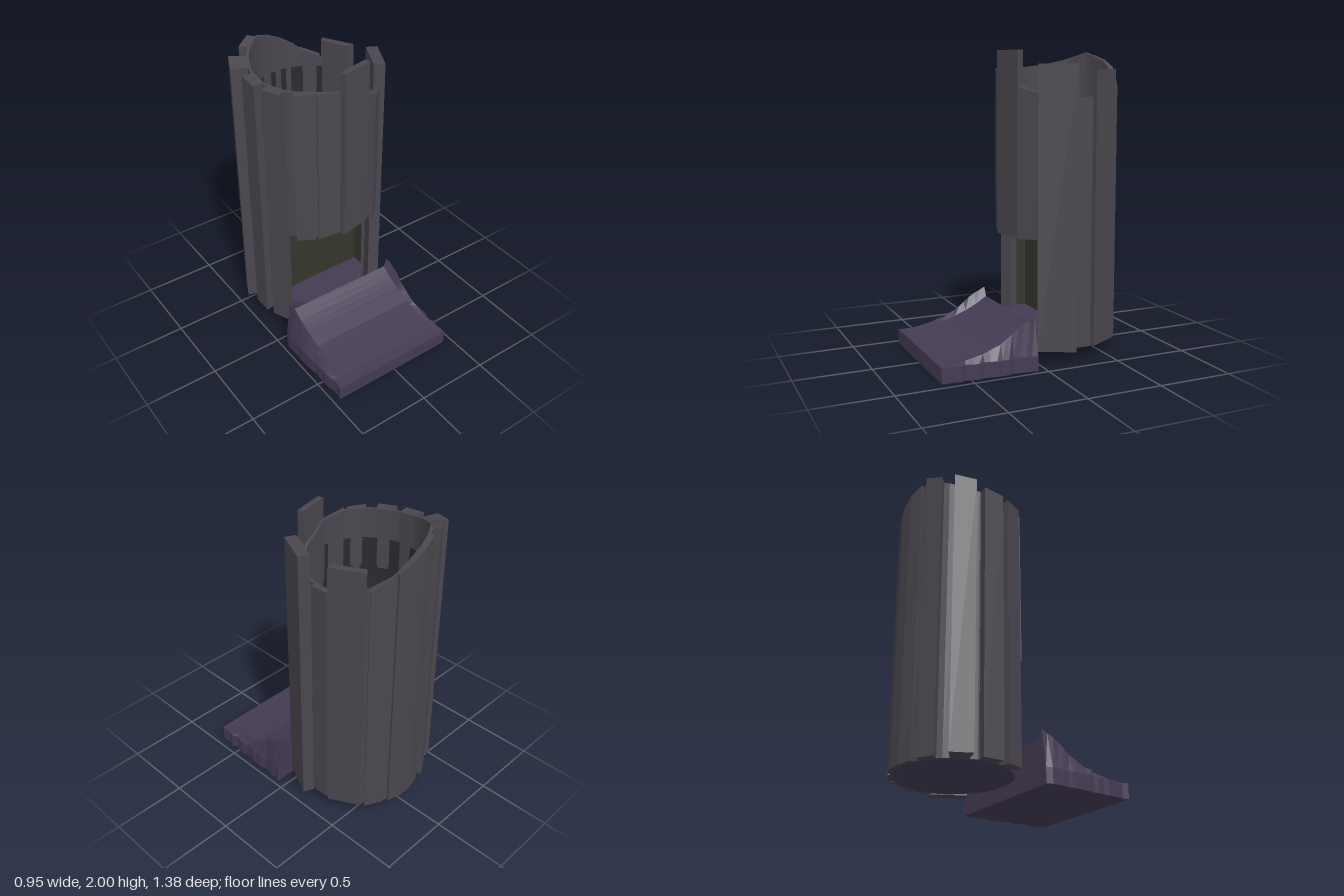
import * as THREE from 'three';

const CZ = -0.295; // trunk axis
const INNER = 0.365, BASE = 0.09, DOOR_TOP = 0.81, FLOOR = 0.21;
const RIM = [1.70, 1.71, 1.77, 1.86, 1.89, 1.89, 1.90, 1.94, 2.0, 1.93, 1.80, 1.72]; // every 30 degrees

const mat = (color) => new THREE.MeshStandardMaterial({ color });
const bark = mat(0x4a464e), dusk = mat(0x443b54), moss = mat(0x34362d), dark = mat(0x29282b);
dark.side = THREE.DoubleSide;

// Trunk height at a point around the axis
function rimHeight(x, z) {
  const t = ((Math.atan2(z - CZ, x) / (Math.PI / 6)) + 12) % 12;
  const i = Math.floor(t);
  return THREE.MathUtils.lerp(RIM[i % 12], RIM[(i + 1) % 12], t - i);
}

// Upright slab between two outer corners, reaching inwards to the hollow
function stave([x0, z0, x1, z1], bottom, top) {
  const geo = new THREE.BoxGeometry(1, 1, 1);
  const p = geo.attributes.position;
  for (let i = 0; i < p.count; i++) {
    let [x, z] = p.getX(i) > 0 ? [x0, z0] : [x1, z1];
    const h = top ?? rimHeight(x, z);
    if (p.getZ(i) < 0) {
      const k = INNER / Math.hypot(x, z - CZ);
      x *= k;
      z = CZ + (z - CZ) * k;
    }
    p.setXYZ(i, x, p.getY(i) > 0 ? h : bottom, z);
  }
  geo.computeVertexNormals();
  return geo;
}

function curve(points, z) {
  for (let i = 1; i < points.length; i++) {
    const [a, ha] = points[i - 1], [b, hb] = points[i];
    if (z <= b) return THREE.MathUtils.lerp(ha, hb, (z - a) / (b - a));
  }
  return points[points.length - 1][1];
}

// Curved step with ragged raised cheeks, lofted from front-facing sections
function rampGeometry() {
  let seed = 7;
  const rnd = () => ((seed = (seed * 16807) % 2147483647) / 2147483647) - 0.5;
  const mid = [[0.06, 0.285], [0.13, 0.24], [0.2, 0.205], [0.34, 0.15], [0.5, 0.12], [0.62, 0.102], [0.69, 0.1]];
  const cheek = [[0.06, 0.345], [0.13, 0.305], [0.16, 0.295], [0.22, 0.245], [0.3, 0.19], [0.4, 0.15], [0.5, 0.125], [0.62, 0.103], [0.69, 0.1]];
  const rows = 16, sections = [];
  for (let i = 0; i <= rows; i++) {
    const z = 0.06 + 0.63 * i / rows;
    const h = curve(mid, z), hc = Math.max(h, curve(cheek, z));
    const lo = 0.465 - 0.02 * i / rows + 0.02 * rnd(), ro = 0.46 - 0.02 * i / rows + 0.02 * rnd();
    const lc = 0.425 + 0.02 * rnd(), rc = 0.42 + 0.02 * rnd();
    sections.push([[-lo, 0], [-lo, 0.1], [-lc, hc], [-0.385, h], [0.39, h], [rc, hc], [ro, 0.1], [ro, 0]]
      .map(([x, y]) => new THREE.Vector3(x, y, z)));
  }
  const n = 8, idx = [];
  for (let i = 0; i < rows; i++) for (let j = 0; j < n; j++) {
    const k = (j + 1) % n, a = i * n + j, b = i * n + k, c = b + n, d = a + n;
    idx.push(a, d, c, a, c, b);
  }
  // end caps
  const ends = [[sections[0], 0, false], [sections[rows], rows * n, true]];
  for (const [s, off, front] of ends) {
    // triangulate, then turn each triangle to face outwards
    for (const [a, b, c] of THREE.ShapeUtils.triangulateShape(s.map((v) => new THREE.Vector2(v.x, v.y)), [])) {
      const area = (s[b].x - s[a].x) * (s[c].y - s[a].y) - (s[b].y - s[a].y) * (s[c].x - s[a].x);
      if ((area > 0) === front) idx.push(off + a, off + b, off + c);
      else idx.push(off + a, off + c, off + b);
    }
  }
  const geo = new THREE.BufferGeometry().setFromPoints(sections.flat());
  geo.setIndex(idx);
  const flat = geo.toNonIndexed();
  flat.computeVertexNormals();
  return flat;
}

export function createModel() {
  const model = new THREE.Group();
  const add = (parent, name, geo, material, x = 0, y = 0, z = 0) => {
    const mesh = new THREE.Mesh(geo, material);
    mesh.name = name;
    mesh.position.set(x, y, z);
    parent.add(mesh);
    return mesh;
  };
  const group = (name) => {
    const g = new THREE.Group();
    g.name = name;
    model.add(g);
    return g;
  };

  // Thin trunk wall, cut away over the doorway
  const wall = group('trunkWall');
  const angles = [];
  for (let a = 30; a < 390; a += 10) angles.push(a);
  angles.push(390);
  const at = (deg) => {
    const t = deg * Math.PI / 180;
    return [0.383 * Math.cos(t), CZ + 0.383 * Math.sin(t)];
  };
  for (let i = 0; i < angles.length - 1; i++) {
    const door = angles[i] < 150;
    add(wall, 'wallSegment', stave([...at(angles[i]), ...at(angles[i + 1])], door ? DOOR_TOP : BASE), bark);
  }

  // Bark staves: outer corners, then whether above the door, then a fixed top
  const staves = group('barkStaves');
  [
    [[0.40, -0.35, 0.40, -0.23]],
    [[0.335, 0.01, 0.24, 0.095], true],
    [[0.20, 0.08, -0.02, 0.09], true],
    [[-0.03, 0.09, -0.18, 0.07], true],
    [[-0.20, 0.06, -0.31, 0.0], true],
    [[-0.37, -0.05, -0.42, -0.17]],
    [[-0.44, -0.22, -0.44, -0.36]],
    [[-0.47, -0.44, -0.41, -0.57]],
    [[-0.31, -0.61, -0.21, -0.67]],
    [[-0.15, -0.67, -0.05, -0.695]],
    [[-0.05, -0.695, 0.05, -0.695]],
    [[0.05, -0.695, 0.14, -0.67]],
    [[0.17, -0.65, 0.29, -0.59]],
    [[0.30, -0.57, 0.41, -0.37], false, 1.88],
  ].forEach(([corners, door, top]) => add(staves, 'stave', stave(corners, door ? DOOR_TOP : BASE, top), bark));

  // Loose planks standing above the rim
  const side = add(model, 'sidePlank', new THREE.BoxGeometry(0.25, 1.82, 0.075), bark, 0.39, 1.0, -0.11);
  side.rotation.y = 1.12;
  const front = add(model, 'frontPlank', new THREE.BoxGeometry(0.222, 1.19, 0.04), bark, 0.088, 1.405, 0.085);
  front.rotation.y = 0.22;

  // Hollow at the top
  const pit = [[0, 0.86], [0.24, 0.86], [0.33, 0.98], [0.364, 1.5], [0.364, 1.69]].map(([r, y]) => new THREE.Vector2(r, y));
  add(model, 'hollow', new THREE.LatheGeometry(pit, 36), dark, 0, 0, CZ);

  // Doorway niche
  const niche = group('doorway');
  const disc = (h) => new THREE.CylinderGeometry(0.368, 0.368, h, 36);
  add(niche, 'floor', disc(FLOOR - BASE), dusk, 0, (FLOOR + BASE) / 2, CZ);
  add(niche, 'ceiling', disc(0.04), moss, 0, DOOR_TOP + 0.02, CZ);
  const h = DOOR_TOP - FLOOR, y = (DOOR_TOP + FLOOR) / 2;
  add(niche, 'backWall', new THREE.BoxGeometry(0.7, h, 0.02), moss, 0, y, -0.23);
  for (const s of [-1, 1]) add(niche, 'sideWall', new THREE.BoxGeometry(0.03, h, 0.13), moss, s * 0.347, y, -0.165);

  // Step in front of the doorway
  add(model, 'entranceRamp', rampGeometry(), dusk);
  return model;
}
